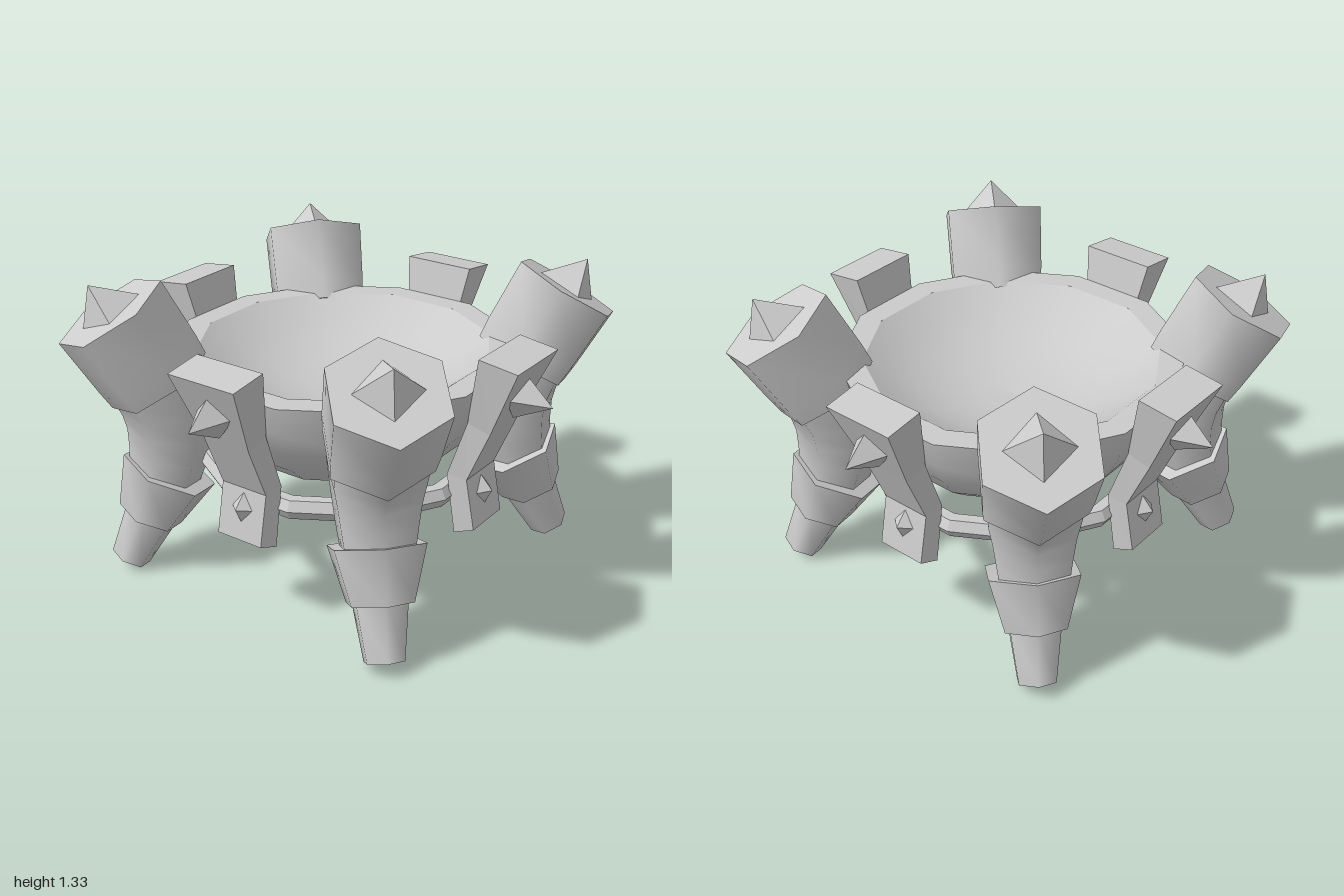
import * as THREE from 'three';

const smooth = new THREE.MeshStandardMaterial({ color: 0xcccccc });
const flat = new THREE.MeshStandardMaterial({ color: 0xcccccc, flatShading: true });

function add(parent, name, geometry, material) {
  const mesh = new THREE.Mesh(geometry, material);
  mesh.name = name;
  parent.add(mesh);
  return mesh;
}

// Closed skin through rings of points, listed bottom to top, with separate caps
function loft(rings) {
  const n = rings[0].length, pos = [], index = [];
  rings.forEach(ring => ring.forEach(p => pos.push(...p)));
  for (let j = 0; j < rings.length - 1; j++) {
    for (let i = 0; i < n; i++) {
      const a = j * n + i, b = j * n + (i + 1) % n;
      index.push(a, a + n, b + n, a, b + n, b);
    }
  }
  [rings[0], rings[rings.length - 1]].forEach((ring, top) => {
    const base = pos.length / 3;
    ring.forEach(p => pos.push(...p));
    for (let i = 1; i < n - 1; i++) {
      if (top) index.push(base, base + i + 1, base + i);
      else index.push(base, base + i, base + i + 1);
    }
  });
  const g = new THREE.BufferGeometry();
  g.setAttribute('position', new THREE.Float32BufferAttribute(pos, 3));
  g.setIndex(index);
  g.computeVertexNormals();
  return g;
}

// Six-sided limb along [distance out, height, radius] stations
function limb(path) {
  return loft(path.map(([x, y, r], k) => {
    const p = path[Math.max(k - 1, 0)], q = path[Math.min(k + 1, path.length - 1)];
    const t = new THREE.Vector2(q[0] - p[0], q[1] - p[1]).normalize();
    return Array.from({ length: 6 }, (_, i) => {
      const a = i * Math.PI / 3, c = r * Math.cos(a);
      return [x + c * t.y, y - c * t.x, r * Math.sin(a)];
    });
  }));
}

// Four-sided spike standing on its base, tilted about z
function spike(parent, name, radius, height, x, y, tilt, width = 1) {
  const g = new THREE.ConeGeometry(radius, height, 4);
  g.translate(0, height / 2, 0);
  g.scale(1, 1, width);
  const mesh = add(parent, name, g, flat);
  mesh.position.set(x, y, 0);
  mesh.rotation.z = tilt;
}

function makeLeg() {
  const leg = new THREE.Group();
  leg.name = 'leg';
  add(leg, 'foot', limb([[0.97, 0.04, 0.088], [0.85, 0.28, 0.125]]), smooth);
  add(leg, 'ankleCuff', limb([[0.87, 0.25, 0.145], [0.775, 0.46, 0.212]]), smooth);
  add(leg, 'shank', limb([[0.80, 0.42, 0.155], [0.77, 0.55, 0.175], [0.755, 0.66, 0.19],
    [0.757, 0.77, 0.207], [0.795, 0.88, 0.213], [0.86, 0.99, 0.215]]), smooth);
  add(leg, 'topCollar', limb([[0.797, 0.885, 0.232], [0.842, 0.965, 0.24], [0.98, 1.203, 0.25]]), smooth);
  spike(leg, 'legSpike', 0.145, 0.155, 0.975, 1.195, -0.58);
  return leg;
}

function makeStrap() {
  const strap = new THREE.Group();
  strap.name = 'strap';
  // outer distance and height, inner distance and height, outer and inner half width
  const rows = [
    [0.735, 0.38, 0.65, 0.35, 0.112, 0.125],
    [0.692, 0.60, 0.605, 0.61, 0.112, 0.122],
    [0.79, 0.83, 0.69, 0.86, 0.113, 0.12],
    [0.925, 1.14, 0.752, 1.163, 0.163, 0.165],
  ];
  add(strap, 'strapBar', loft(rows.map(([ox, oy, ix, iy, ow, iw]) =>
    [[ox, oy, -ow], [ox, oy, ow], [ix, iy, iw], [ix, iy, -iw]])), flat);
  spike(strap, 'upperStud', 0.11, 0.16, 0.843, 0.985, -Math.PI / 2 - 0.14, 0.82);
  spike(strap, 'lowerStud', 0.078, 0.055, 0.698, 0.515, -Math.PI / 2 + 0.15, 0.8);
  return strap;
}

export function createModel() {
  const model = new THREE.Group();
  model.name = 'footedBowl';

  // Twelve-sided bowl with a shallow dish, and hard edges between its four surfaces
  const bowl = new THREE.Group();
  bowl.name = 'bowl';
  model.add(bowl);
  const surfaces = {
    bowlBase: [[0, 0.58], [0.48, 0.58]],
    bowlWall: [[0.48, 0.58], [0.59, 0.67], [0.67, 0.78], [0.72, 0.89], [0.745, 1.01]],
    bowlRim: [[0.745, 1.01], [0.637, 1.01]],
    bowlInside: [[0.637, 1.01], [0.53, 0.935], [0.41, 0.875], [0.28, 0.83], [0.14, 0.805], [0, 0.797]],
  };
  for (const [name, pts] of Object.entries(surfaces)) {
    const profile = pts.map(p => new THREE.Vector2(...p));
    add(bowl, name, new THREE.LatheGeometry(profile, 12, Math.PI / 12), smooth);
  }

  // Ring running behind the straps and through the legs
  const ring = new THREE.TorusGeometry(0.605, 0.048, 6, 12);
  ring.rotateZ(Math.PI / 12);
  ring.rotateX(Math.PI / 2);
  add(model, 'lowerRing', ring, flat).position.y = 0.515;

  // Straps on the four sides, legs on the diagonals
  for (let i = 0; i < 4; i++) {
    const strap = makeStrap(), leg = makeLeg();
    strap.rotation.y = i * Math.PI / 2;
    leg.rotation.y = (i + 0.5) * Math.PI / 2;
    model.add(strap, leg);
  }
  return model;
}
